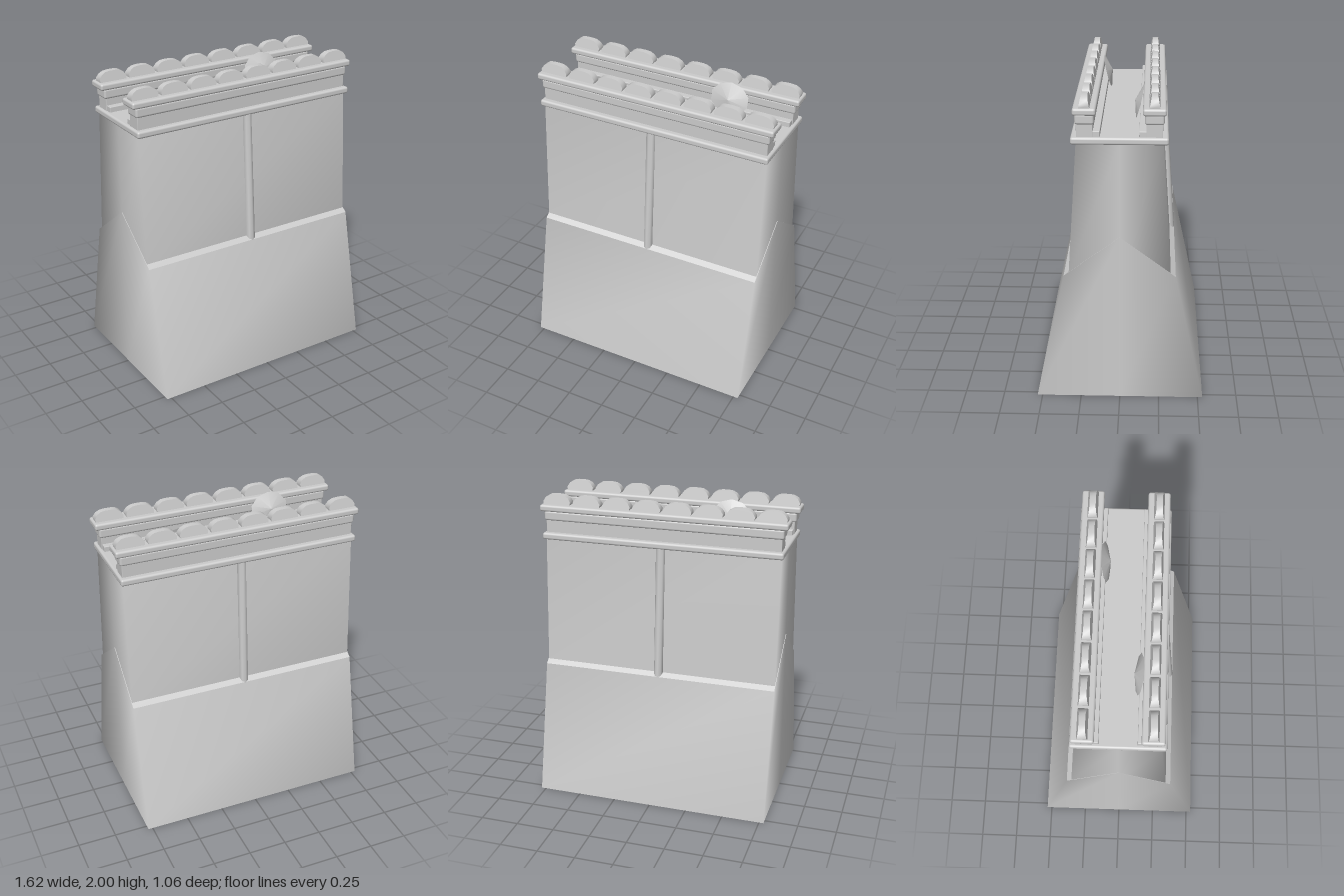
import * as THREE from 'three';
import { mergeVertices, toCreasedNormals } from 'three/addons/utils/BufferGeometryUtils.js';
import { RoundedBoxGeometry } from 'three/addons/geometries/RoundedBoxGeometry.js';

const material = new THREE.MeshStandardMaterial({ color: 0xcccccc });
const shellMaterial = new THREE.MeshStandardMaterial({ color: 0xcccccc, side: THREE.DoubleSide });

function add(parent, name, geometry, mat = material) {
  const mesh = new THREE.Mesh(geometry, mat);
  mesh.name = name;
  parent.add(mesh);
  return mesh;
}

// Moulding from y0 to y1 with softly rounded edges
function moulding(halfX, y0, y1, halfZ, radius) {
  const g = new RoundedBoxGeometry(halfX * 2, y1 - y0, halfZ * 2, 2, radius);
  g.translate(0, (y0 + y1) / 2, 0);
  return g;
}

// Four tapering walls without top or bottom, soft at the corners;
// the end walls may rise to a gable
function wallShell(halfX, y0, y1, zBottom, zTop, gableY = y1) {
  const ring = [[1, 1], [1, 0], [1, -1], [-1, -1], [-1, 0], [-1, 1]];
  const positions = [];
  const index = [];
  ring.forEach(([x, z], i) => {
    positions.push(x * halfX, y0, z * zBottom);
    positions.push(x * halfX, z === 0 ? gableY : y1, z * zTop);
    const a = i * 2;
    const b = ((i + 1) % ring.length) * 2;
    index.push(a, b, b + 1, a, b + 1, a + 1);
  });
  const g = new THREE.BufferGeometry();
  g.setAttribute('position', new THREE.Float32BufferAttribute(positions, 3));
  g.setIndex(index);
  g.computeVertexNormals();
  return g;
}

// One sloping shoulder from the eaves up to the ridge, on the +z side
function shoulderGeometry() {
  const depth = Math.hypot(0.345, 0.26);
  const g = new THREE.PlaneGeometry(1.56, depth);
  g.rotateX(-Math.PI / 2);
  g.rotateX(Math.atan2(0.26, 0.345));
  g.translate(0, 0.99, 0.1725);
  return g;
}

// Rounded coping stone, thinner at the top
function merlonGeometry() {
  const half = [[0.089, 0], [0.092, 0.022], [0.075, 0.048], [0.05, 0.063], [0.02, 0.067]];
  const points = [...half, ...half.slice().reverse().map(([x, y]) => [-x, y])];
  const g = new THREE.ExtrudeGeometry(
    new THREE.Shape(points.map(([x, y]) => new THREE.Vector2(x, y))),
    { depth: 2, bevelEnabled: false });
  g.translate(0, 0, -1);
  const p = g.attributes.position;
  for (let i = 0; i < p.count; i++) p.setZ(i, p.getZ(i) * (0.033 - 0.21 * p.getY(i)));
  return toCreasedNormals(g, 1);
}

// Eight-sided vertical rib following the slope of the wall
function ribGeometry(length) {
  const g = new THREE.CylinderGeometry(0.03, 0.03, length, 8);
  g.deleteAttribute('uv');
  return toCreasedNormals(mergeVertices(g), 1);
}

// One side of the wall top with its slope and rib, built for +z
function createSide() {
  const side = new THREE.Group();
  const z = 0.205;
  add(side, 'shoulder', shoulderGeometry(), shellMaterial);
  add(side, 'parapetWall', moulding(0.775, 1.75, 1.84, 0.049, 0.004)).position.z = z;
  add(side, 'parapetMoulding', moulding(0.786, 1.833, 1.897, 0.057, 0.014)).position.z = z;
  add(side, 'parapetCap', moulding(0.812, 1.893, 1.936, 0.069, 0.014)).position.z = z;
  add(side, 'innerStep', moulding(0.77, 1.75, 1.79, 0.025, 0.004)).position.z = 0.14;

  const merlon = merlonGeometry();
  for (let i = 0; i < 8; i++) {
    add(side, 'merlon', merlon).position.set((i - 3.5) * 0.202, 1.933, z);
  }

  // Shallow round shield leaning on the inner side
  const cone = new THREE.ConeGeometry(1, 0.032, 10);
  cone.translate(0, 0.016, 0);
  cone.scale(0.13, 1, 0.107);
  const shield = add(side, 'shield', cone);
  shield.position.set(-0.362, 1.855, 0.114);
  shield.rotation.x = -Math.PI / 2 + Math.atan2(0.05, 0.2);

  const bottom = new THREE.Vector3(0, 0.85, 0.317);
  const top = new THREE.Vector3(0, 1.72, 0.257);
  const rib = add(side, 'rib', ribGeometry(bottom.distanceTo(top)));
  rib.position.copy(bottom).lerp(top, 0.5);
  rib.rotation.x = Math.atan2(top.z - bottom.z, top.y - bottom.y);
  return side;
}

export function createModel() {
  const model = new THREE.Group();
  model.name = 'wallSection';

  // Hollow footing, open underneath, and the wall rising from it
  add(model, 'footing', wallShell(0.78, 0, 0.86, 0.532, 0.345, 1.12), shellMaterial);
  add(model, 'upperWall', wallShell(0.777, 0.86, 1.715, 0.315, 0.257), shellMaterial);
  add(model, 'walkway', moulding(0.793, 1.712, 1.756, 0.289, 0.014));

  const front = createSide();
  front.name = 'frontSide';
  const back = createSide();
  back.name = 'backSide';
  back.rotation.y = Math.PI;
  model.add(front, back);
  return model;
}
